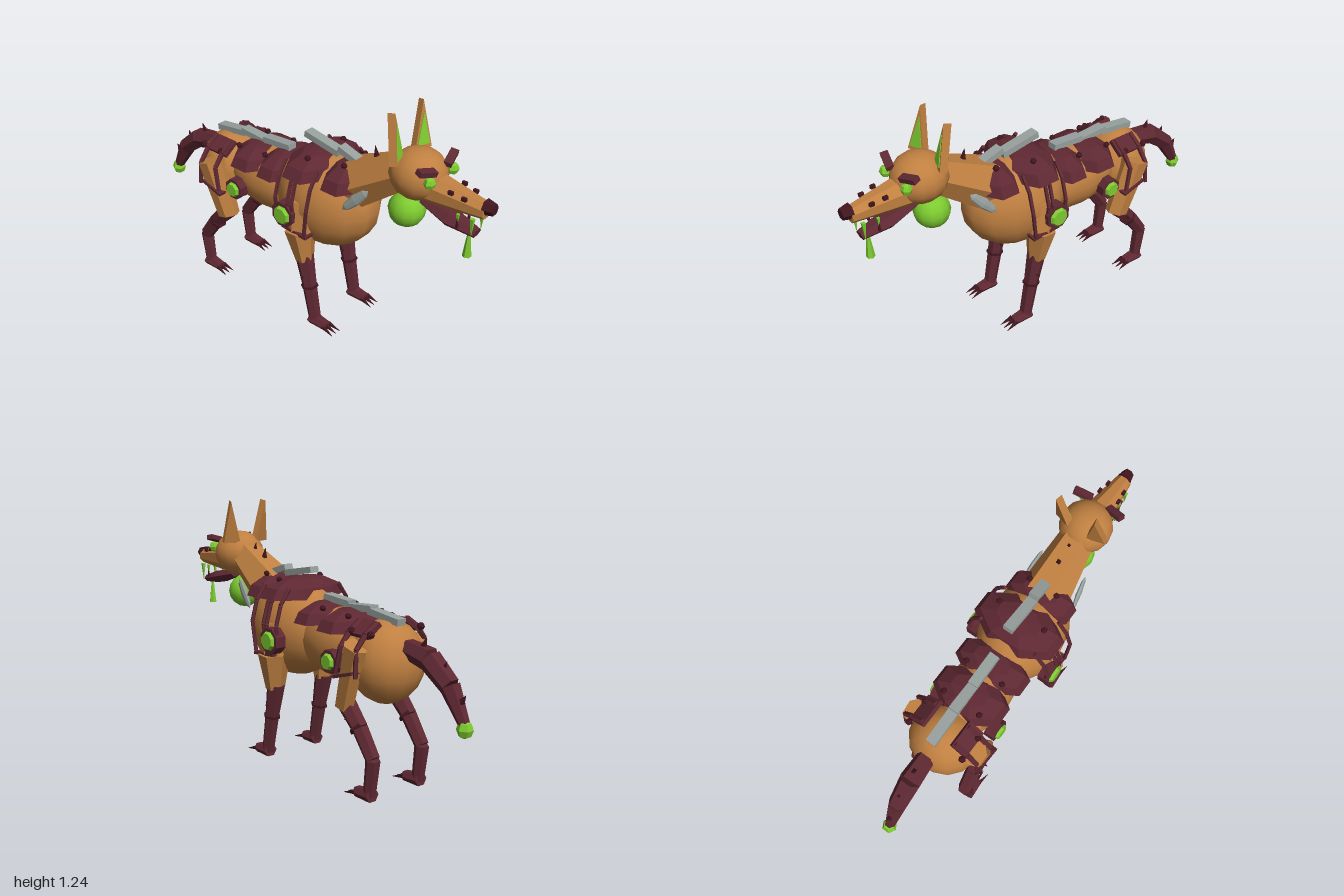
import * as THREE from 'three';

const V = (x, y, z) => new THREE.Vector3(x, y, z);
const UP = V(0, 1, 0);

export function createModel() {
  const root = new THREE.Group();
  root.name = 'armouredHound';

  const material = (name, color) => {
    const m = new THREE.MeshStandardMaterial({ color });
    m.name = name;
    return m;
  };
  const tan = material('tan hide', 0xc08041);
  const maroon = material('maroon armour', 0x5e2832);
  const dark = material('dark maroon', 0x42161f);
  const green = material('toxic green', 0x7dcb30);
  const grey = material('grey plate', 0x97a19e);
  const ringRed = maroon;

  const add = (name, geo, mat, flat = true) => {
    if (flat) {
      if (geo.index) geo = geo.toNonIndexed();
      geo.computeVertexNormals();
    }
    const mesh = new THREE.Mesh(geo, mat);
    mesh.name = name;
    root.add(mesh);
    return mesh;
  };
  // tapered prism running from a to b
  const taper = (name, mat, a, b, ra, rb, n = 6, sx = 1) => {
    const g = new THREE.CylinderGeometry(rb, ra, a.distanceTo(b), n);
    g.rotateY(Math.PI / n);
    const m = add(name, g, mat);
    m.scale.x = sx;
    m.position.copy(a).lerp(b, 0.5);
    m.quaternion.setFromUnitVectors(UP, b.clone().sub(a).normalize());
    return m;
  };
  const ball = (name, mat, p, r, w = 14, h = 10, flat = false) => {
    const m = add(name, new THREE.SphereGeometry(1, w, h), mat, flat);
    m.position.copy(p);
    m.scale.set(...r);
    return m;
  };
  const box = (name, mat, p, size, rx = 0, ry = 0, rz = 0) => {
    const m = add(name, new THREE.BoxGeometry(...size), mat);
    m.position.copy(p);
    m.rotation.set(rx, ry, rz);
    return m;
  };
  const chain = (name, mat, pts, r, n = 6) => {
    for (let i = 0; i < pts.length - 1; i++) taper(name, mat, pts[i], pts[i + 1], r[i], r[i + 1], n);
  };

  // torso
  ball('chest', tan, V(0, 0.66, 0.13), [0.205, 0.24, 0.275]);
  ball('belly', tan, V(0, 0.635, -0.22), [0.155, 0.165, 0.28]);
  ball('hips', tan, V(0, 0.6, -0.505), [0.175, 0.19, 0.165]);

  // neck and head
  taper('neck', tan, V(0, 0.8, 0.3), V(0, 0.965, 0.57), 0.125, 0.085, 6);
  ball('head', tan, V(0, 0.97, 0.625), [0.127, 0.115, 0.13]);
  taper('snout', tan, V(0, 0.935, 0.7), V(0, 0.922, 0.965), 0.075, 0.038, 8);
  taper('nose', dark, V(0, 0.94, 0.955), V(0, 0.94, 1.0), 0.036, 0.026, 6);
  taper('jawBack', maroon, V(0, 0.855, 0.66), V(0, 0.825, 0.8), 0.02, 0.036, 6, 1.6);
  taper('jawFront', maroon, V(0, 0.825, 0.8), V(0, 0.8, 0.93), 0.036, 0.02, 6, 1.6);
  ball('throatSac', green, V(0, 0.775, 0.578), [0.085, 0.085, 0.085], 12, 8);
  taper('drool', green, V(0, 0.67, 0.895), V(0, 0.8, 0.895), 0.02, 0.005, 6);

  // neck spikes
  taper('neckSpike', dark, V(0, 0.96, 0.495), V(0, 1.035, 0.473), 0.021, 0.001, 4);
  taper('neckSpike', dark, V(0, 0.93, 0.41), V(0, 1.015, 0.392), 0.023, 0.001, 4);

  // triangular ear blade
  const triangle = (w, h, lean) => new THREE.Shape([
    new THREE.Vector2(-w, 0), new THREE.Vector2(w, 0), new THREE.Vector2(lean, h)]);

  for (const s of [1, -1]) {
    const P = (x, y, z) => V(s * x, y, z);

    // ears
    const ear = add('ear', new THREE.ExtrudeGeometry(triangle(0.044, 0.215, 0.013),
      { depth: 0.034, bevelEnabled: false }).translate(0, 0, -0.017), tan);
    const inner = add('innerEar', new THREE.ExtrudeGeometry(triangle(0.032, 0.145, 0.012),
      { depth: 0.005, bevelEnabled: false }).translate(0, 0.018, 0.016), green);
    for (const e of [ear, inner]) {
      e.position.set(s * 0.087, 1.035, 0.57);
      e.rotation.set(-0.18, -s * 0.3, 0, 'YXZ');
    }

    // face
    ball('eye', green, P(0.085, 0.998, 0.738), [0.028, 0.028, 0.026], 6, 4, true);
    box('brow', maroon, P(0.087, 1.042, 0.722), [0.092, 0.024, 0.036], 0.2, s * 0.3, s * 0.2);
    for (const [x, y, z] of [[0.052, 0.972, 0.82], [0.044, 0.962, 0.88]])
      box('snoutWart', dark, P(x, y, z), [0.014, 0.016, 0.022]);
    taper('fang', green, P(0.038, 0.885, 0.925), P(0.038, 0.8, 0.925), 0.012, 0.001, 4);
    taper('backFang', green, P(0.045, 0.885, 0.86), P(0.045, 0.835, 0.86), 0.009, 0.001, 4);
    taper('lowerTooth', dark, P(0.045, 0.82, 0.86), P(0.048, 0.865, 0.86), 0.008, 0.001, 4);

    // grey neck plate
    const plate = ball('neckPlate', grey, P(0.132, 0.797, 0.393), [0.012, 0.092, 0.026], 8, 4, true);
    plate.rotation.set(0.75, 0, s * 0.12);

    // side tanks with rings
    for (const [x, y, z, r] of [[0.222, 0.625, 0.05, 0.066], [0.172, 0.59, -0.325, 0.055]]) {
      taper('tankRing', ringRed, P(x - 0.04, y, z), P(x + 0.015, y, z), r, r, 8);
      taper('tankLens', green, P(x, y, z), P(x + 0.03, y, z), r * 0.85, r * 0.6, 8);
    }

    // chest straps
    for (const [z, low] of [[0.19, 0.55], [0.1, 0.66], [0.075, 0.66], [0, 0.66]]) {
      const pts = [P(0.15, 0.87, z), P(0.2, 0.8, z), P(0.228, 0.7, z), P(0.222, low, z - (low < 0.6 ? 0.02 : 0))];
      chain('chestStrap', maroon, pts, [0.01, 0.01, 0.01, 0.01], 5);
    }
    // hip straps and plate
    for (const [z, d] of [[-0.43, 0.025], [-0.53, -0.005]]) {
      const pts = [P(0.09, 0.785, z), P(0.155, 0.74, z), P(0.205, 0.68, z), P(0.212, 0.56, z + d)];
      chain('hipStrap', maroon, pts, [0.014, 0.014, 0.012, 0.011], 5);
    }
    box('hipPlate', maroon, P(0.115, 0.755, -0.475), [0.09, 0.022, 0.14], 0, 0, -s * 0.6);
    for (const z of [-0.44, -0.56]) ball('hipRivet', dark, P(0.15, 0.745, z), [0.018, 0.018, 0.018], 6, 4, true);

    // shell rivets
    for (const [x, y, z] of [[0.125, 0.9, 0.11], [0.075, 0.905, 0.28], [0.1, 0.8, -0.185], [0.1, 0.79, -0.36]])
      ball('shellRivet', dark, P(x, y, z), [0.016, 0.014, 0.016], 6, 4, true);

    // front leg
    taper('shoulder', tan, P(0.165, 0.7, 0.1), P(0.165, 0.55, 0.1), 0.06, 0.085, 6, 0.75);
    taper('frontUpperLeg', tan, P(0.165, 0.55, 0.1), P(0.15, 0.37, 0.115), 0.085, 0.05, 6, 0.8);
    box('shoulderBand', maroon, P(0.2, 0.55, 0.11), [0.052, 0.014, 0.15], 0.08);
    chain('frontLowerLeg', maroon, [P(0.15, 0.39, 0.11), P(0.15, 0.22, 0.145), P(0.15, 0.03, 0.182)], [0.047, 0.036, 0.031]);
    taper('frontLegBand', dark, P(0.15, 0.215, 0.146), P(0.15, 0.226, 0.144), 0.043, 0.043);

    // hind leg
    taper('thigh', tan, P(0.172, 0.69, -0.49), P(0.155, 0.4, -0.4), 0.072, 0.058, 6, 0.75);
    box('thighBand', maroon, P(0.192, 0.56, -0.455), [0.055, 0.014, 0.13], 0.3);
    chain('hindLowerLeg', maroon, [P(0.15, 0.43, -0.395), P(0.15, 0.32, -0.5), P(0.15, 0.2, -0.585), P(0.15, 0.03, -0.565)],
      [0.046, 0.038, 0.034, 0.029]);
    taper('hindLegBand', dark, P(0.15, 0.315, -0.495), P(0.15, 0.324, -0.486), 0.044, 0.044);

    // knee thorns, paws and claws
    for (const [ankle, thorn] of [[0.205, V(0, 0.285, 0.132)], [-0.54, V(0, 0.36, -0.455)]]) {
      for (const d of [-1, 1])
        taper('legThorn', dark, P(0.15 + d * 0.03, thorn.y, thorn.z), P(0.15 + d * 0.053, thorn.y, thorn.z), 0.012, 0.001, 4);
      taper('paw', maroon, P(0.15, 0.035, ankle - 0.045), P(0.15, 0.027, ankle + 0.055), 0.032, 0.025, 6, 1.15);
      for (const d of [-1, 0, 1])
        taper('claw', dark, P(0.15 + d * 0.02, 0.03, ankle + 0.045), P(0.15 + d * 0.028, 0.012, ankle + 0.11), 0.012, 0.001, 4);
    }
  }

  // back shells: z, base y, radii
  for (const [z, y, rx, ry, rz] of [
    [0.27, 0.8, 0.175, 0.105, 0.11], [0.09, 0.815, 0.222, 0.1, 0.135],
    [-0.12, 0.725, 0.188, 0.1, 0.11], [-0.29, 0.715, 0.188, 0.1, 0.125]]) {
    const g = new THREE.SphereGeometry(1, 8, 3, Math.PI / 8, Math.PI * 2, 0, Math.PI / 2);
    const shell = add('backShell', g, maroon);
    shell.position.set(0, y, z);
    shell.scale.set(rx * 1.06, ry, rz * 1.06);
    const floor = add('shellFloor', new THREE.CircleGeometry(1, 8, Math.PI / 8).rotateX(Math.PI / 2), maroon);
    floor.position.copy(shell.position);
    floor.scale.copy(shell.scale);
  }

  // spine plates: front z, front y, back z, back y
  for (const [za, ya, zb, yb] of [
    [0.34, 0.895, 0.2, 0.94], [0.2, 0.912, 0.0, 0.948],
    [-0.1, 0.835, -0.27, 0.822], [-0.25, 0.808, -0.42, 0.82], [-0.4, 0.81, -0.59, 0.785]]) {
    box('spinePlate', grey, V(0, (ya + yb) / 2, (za + zb) / 2),
      [0.05, 0.03, Math.hypot(za - zb, ya - yb)], Math.atan2(yb - ya, za - zb));
  }

  // tail
  chain('tail', maroon, [V(0, 0.68, -0.63), V(0, 0.655, -0.76), V(0, 0.565, -0.875), V(0, 0.42, -0.96)],
    [0.045, 0.053, 0.045, 0.025]);
  ball('tailBulb', green, V(0, 0.403, -0.963), [0.037, 0.04, 0.037], 6, 4, true);
  for (const [y, z, ty, tz] of [[0.69, -0.715, 0.745, -0.74], [0.61, -0.83, 0.665, -0.855], [0.51, -0.935, 0.545, -0.962]])
    taper('tailSpike', dark, V(0, y, z), V(0, ty, tz), 0.018, 0.001, 4);

  return root;
}
